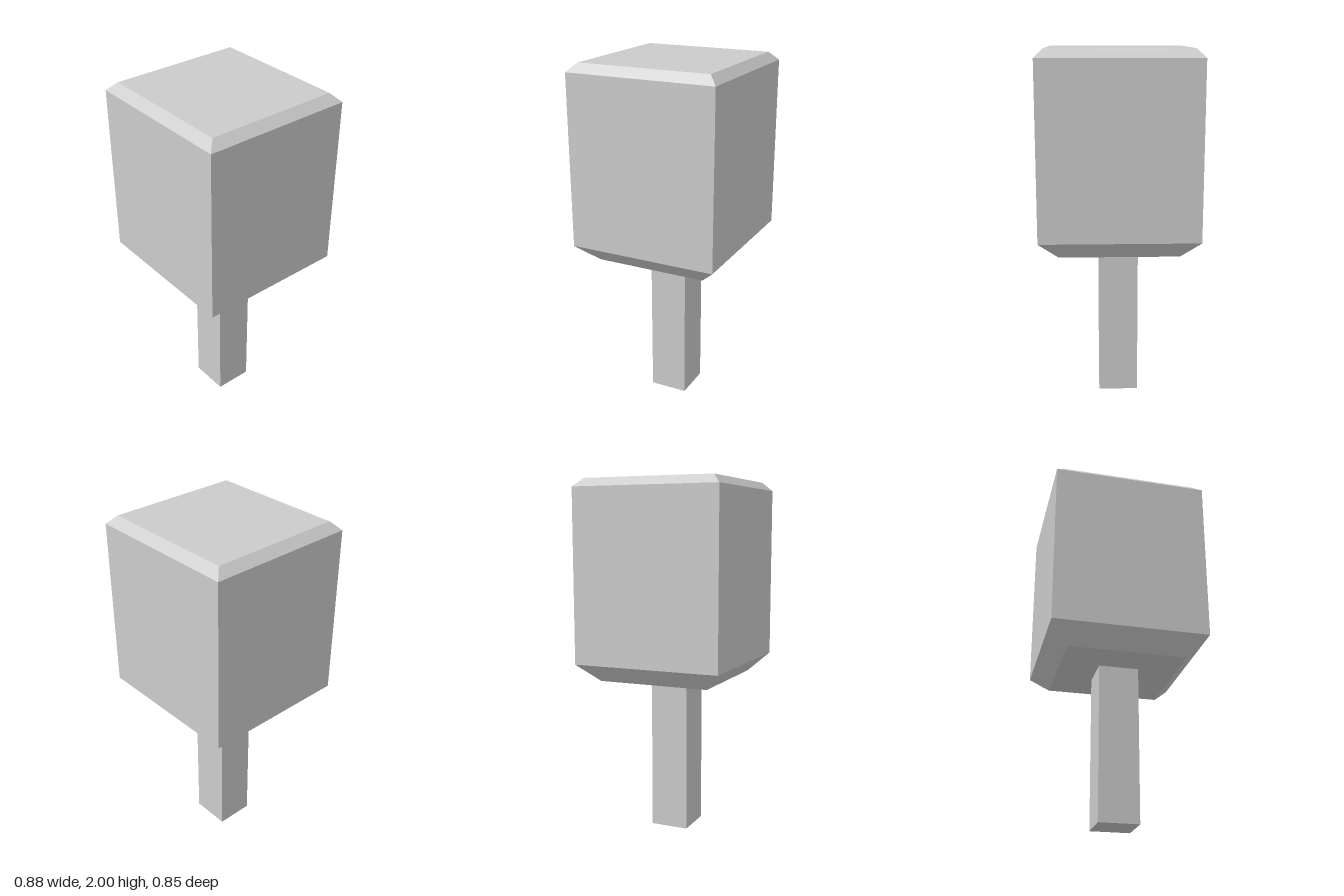
import * as THREE from 'three';

// Closed solid through rectangular rings [y, halfWidth, halfDepth], listed bottom to top
function loftRings(rings) {
  const positions = [];
  const index = [];
  for (const [y, w, d] of rings) {
    positions.push(-w, y, d, w, y, d, w, y, -d, -w, y, -d);
  }
  for (let r = 0; r < rings.length - 1; r++) {
    for (let i = 0; i < 4; i++) {
      const a = r * 4 + i;
      const b = r * 4 + ((i + 1) % 4);
      index.push(a, b, b + 4, a, b + 4, a + 4);
    }
  }
  const t = (rings.length - 1) * 4;
  index.push(0, 2, 1, 0, 3, 2); // bottom cap
  index.push(t, t + 1, t + 2, t, t + 2, t + 3); // top cap
  const indexed = new THREE.BufferGeometry();
  indexed.setAttribute('position', new THREE.Float32BufferAttribute(positions, 3));
  indexed.setIndex(index);
  const geometry = indexed.toNonIndexed();
  geometry.computeVertexNormals();
  return geometry;
}

export function createModel() {
  const model = new THREE.Group();
  model.name = 'blockTree';
  const material = new THREE.MeshStandardMaterial({ color: 0xcccccc, flatShading: true });

  // Square trunk, reaching just into the crown
  const trunkHeight = 0.89;
  const trunk = new THREE.Mesh(new THREE.BoxGeometry(0.226, trunkHeight, 0.218), material);
  trunk.name = 'trunk';
  trunk.position.y = trunkHeight / 2;
  model.add(trunk);

  // Box crown with a wide bevel below and a narrow one on top
  const crown = new THREE.Mesh(
    loftRings([
      [0.883, 0.332, 0.32],
      [0.985, 0.438, 0.424],
      [1.953, 0.438, 0.424],
      [2.0, 0.39, 0.376],
    ]),
    material
  );
  crown.name = 'crown';
  model.add(crown);

  return model;
}
